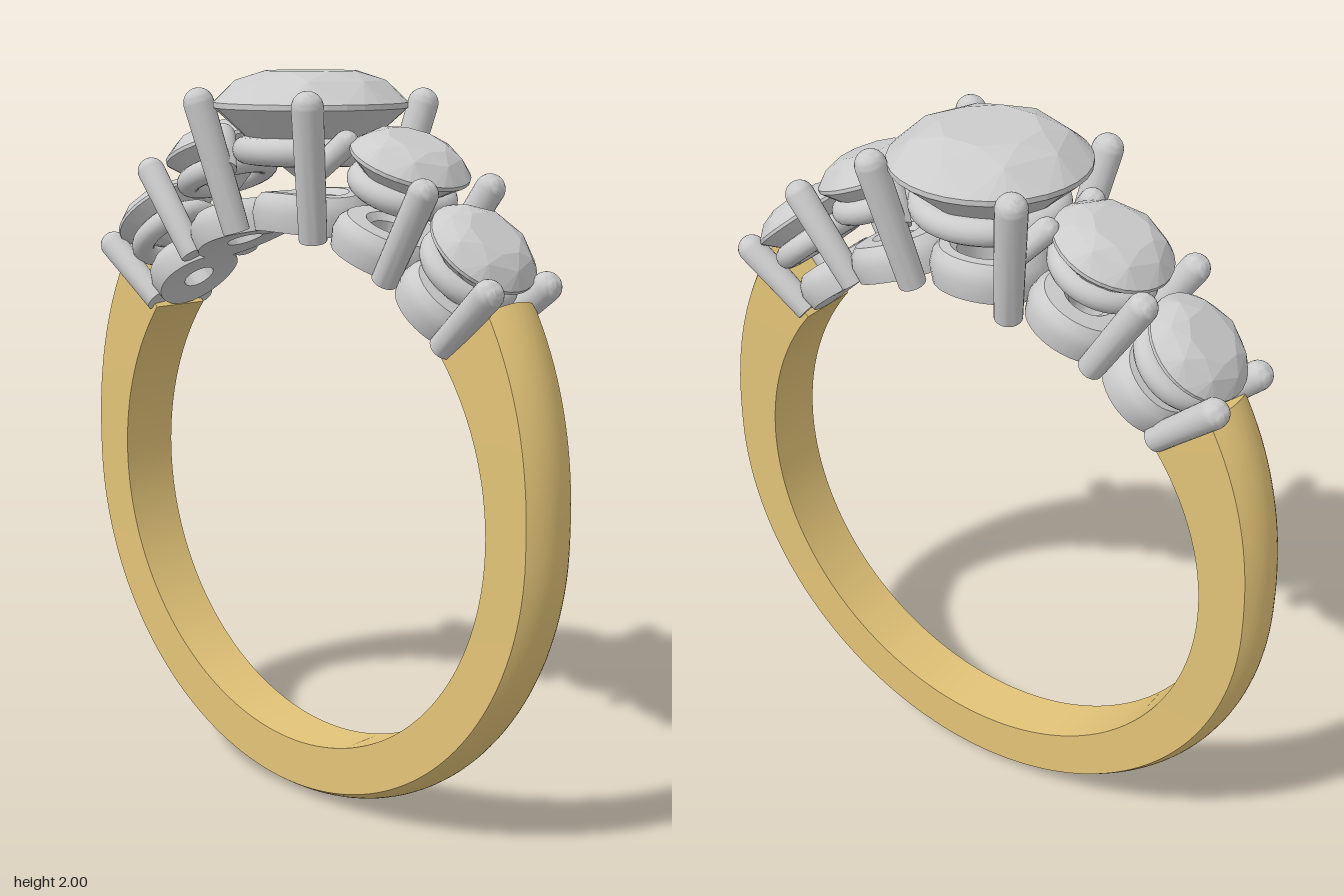
import * as THREE from 'three';
import { toCreasedNormals } from 'three/addons/utils/BufferGeometryUtils.js';
import { ConvexGeometry } from 'three/addons/geometries/ConvexGeometry.js';

const CY = 0.873;      // height of the finger hole's centre
const INNER = 0.715;   // finger hole radius
const rad = THREE.MathUtils.degToRad;
const grey = new THREE.MeshStandardMaterial({ color: 0xcccccc });
const gold = new THREE.MeshStandardMaterial({ color: 0xe3c478 });

function mesh(name, geometry, material = grey) {
  const m = new THREE.Mesh(geometry, material);
  m.name = name;
  return m;
}

// Band: domed cross-section swept round the finger, thicker towards the setting
function bandGeometry() {
  const start = rad(141), end = rad(399), steps = 128, domeSteps = 12;
  const pos = [], index = [];
  let count = 0;
  for (let i = 0; i <= steps; i++) {
    const a = start + (end - start) * i / steps;
    const rise = Math.max(0, Math.sin(a)) / Math.sin(rad(39));
    const outer = 0.873 + 0.066 * Math.pow(rise, 1.6);
    const w = 0.084 + 0.005 * Math.sin(a);
    const section = [[INNER, -w]];
    for (let j = 0; j <= domeSteps; j++) {
      const t = -1 + 2 * j / domeSteps;
      section.push([outer - 0.029 * t * t, w * t]);
    }
    section.push([INNER, w]);
    count = section.length;
    for (const [r, z] of section) pos.push(r * Math.cos(a), CY + r * Math.sin(a), z);
  }
  for (let i = 0; i < steps; i++) {
    for (let j = 0; j < count; j++) {
      const k = (j + 1) % count;
      const a = i * count + j, b = i * count + k, c = a + count, d = b + count;
      index.push(a, c, b, b, c, d);
    }
  }
  // flat ends
  const last = steps * count;
  for (let j = 1; j < count - 1; j++) {
    index.push(0, j, j + 1, last, last + j + 1, last + j);
  }
  const g = new THREE.BufferGeometry();
  g.setAttribute('position', new THREE.Float32BufferAttribute(pos, 3));
  g.setIndex(index);
  return toCreasedNormals(g, 0.6);
}

// Round cut gem with its girdle at y = 0
function gemGeometry(r, crown, pavilion) {
  const pts = [new THREE.Vector3(0, -pavilion, 0)];
  const ring = (n, radius, y, shift) => {
    for (let i = 0; i < n; i++) {
      const a = (i + shift) * Math.PI * 2 / n;
      pts.push(new THREE.Vector3(radius * Math.cos(a), y, radius * Math.sin(a)));
    }
  };
  ring(8, r * 0.5, crown, 0.5);
  ring(8, r * 0.77, crown * 0.72, 0);
  ring(32, r, crown * 0.08, 0);
  ring(32, r, -crown * 0.08, 0);
  ring(8, r * 0.55, -pavilion * 0.5, 0);
  return new ConvexGeometry(pts);
}

// Open base ring, its underside following the finger hole
function baseGeometry(r, hole, height) {
  const b = 0.018;
  const profile = [
    [hole, 0], [r, 0], [r + 0.008, height * 0.5], [r, height - b],
    [r - b, height], [hole + b, height], [hole, height - b], [hole, 0],
  ].map(([x, y]) => new THREE.Vector2(x, y));
  const g = new THREE.LatheGeometry(profile, 40);
  const p = g.attributes.position;
  for (let i = 0; i < p.count; i++) {
    p.setY(i, p.getY(i) + Math.sqrt(INNER * INNER - p.getX(i) ** 2));
  }
  return toCreasedNormals(g, 0.7);
}

// Straight claw with a flat foot and a rounded tip
function claw(name, from, to, r) {
  const a = new THREE.Vector3(...from), b = new THREE.Vector3(...to);
  const length = a.distanceTo(b);
  const profile = [new THREE.Vector2(0, 0), new THREE.Vector2(r * 0.9, 0)];
  for (let i = 0; i <= 8; i++) {
    const t = i / 8 * Math.PI / 2;
    profile.push(new THREE.Vector2(i === 8 ? 0 : r * Math.cos(t), length + r * Math.sin(t)));
  }
  const m = mesh(name, toCreasedNormals(new THREE.LatheGeometry(profile, 20), 0.8));
  m.position.copy(a);
  m.quaternion.setFromUnitVectors(new THREE.Vector3(0, 1, 0), b.sub(a).normalize());
  return m;
}

// One stone with its seat ring and base, standing out from the finger hole
function stoneSetting(name, angle, s) {
  const g = new THREE.Group();
  g.name = name;
  g.position.y = CY;
  g.rotation.z = rad(angle - 90);
  const gem = mesh(name + 'Gem', gemGeometry(s.r, s.crown, s.pavilion));
  gem.position.y = s.girdle;
  const seat = mesh(name + 'SeatRing', new THREE.TorusGeometry(s.seatR, s.tube, 16, 48));
  seat.rotation.x = Math.PI / 2;
  seat.position.y = s.seatY;
  const base = mesh(name + 'Base', baseGeometry(s.baseR, s.hole, s.baseH));
  g.add(gem, seat, base);
  return g;
}

export function createModel() {
  const ring = new THREE.Group();
  ring.name = 'ring';
  ring.add(mesh('band', bandGeometry(), gold));

  ring.add(stoneSetting('centreStone', 90, {
    r: 0.258, crown: 0.088, pavilion: 0.222, girdle: 1.039,
    seatR: 0.172, tube: 0.036, seatY: 0.922, baseR: 0.148, hole: 0.085, baseH: 0.1,
  }));

  for (const s of [1, -1]) {
    const side = s > 0 ? 'left' : 'right';
    const angle = a => 90 + s * (a - 90);
    ring.add(stoneSetting(side + 'InnerStone', angle(68), {
      r: 0.158, crown: 0.062, pavilion: 0.14, girdle: 0.977,
      seatR: 0.112, tube: 0.033, seatY: 0.905, baseR: 0.135, hole: 0.05, baseH: 0.095,
    }));
    ring.add(stoneSetting(side + 'OuterStone', angle(49), {
      r: 0.148, crown: 0.055, pavilion: 0.125, girdle: 0.94,
      seatR: 0.105, tube: 0.032, seatY: 0.87, baseR: 0.122, hole: 0.045, baseH: 0.09,
    }));
    for (const f of [1, -1]) {
      ring.add(
        claw('centreClaw', [s * 0.15, 1.575, f * 0.132], [s * 0.21, 1.915, f * 0.208], 0.041),
        claw('innerClaw', [s * 0.165, 1.74, f * 0.155], [s * 0.238, 1.825, f * 0.1], 0.033),
        claw('sharedClaw', [s * 0.375, 1.49, f * 0.098], [s * 0.525, 1.715, f * 0.122], 0.039),
        claw('endClaw', [s * 0.558, 1.342, f * 0.08], [s * 0.727, 1.49, f * 0.107], 0.039),
      );
    }
  }
  return ring;
}
